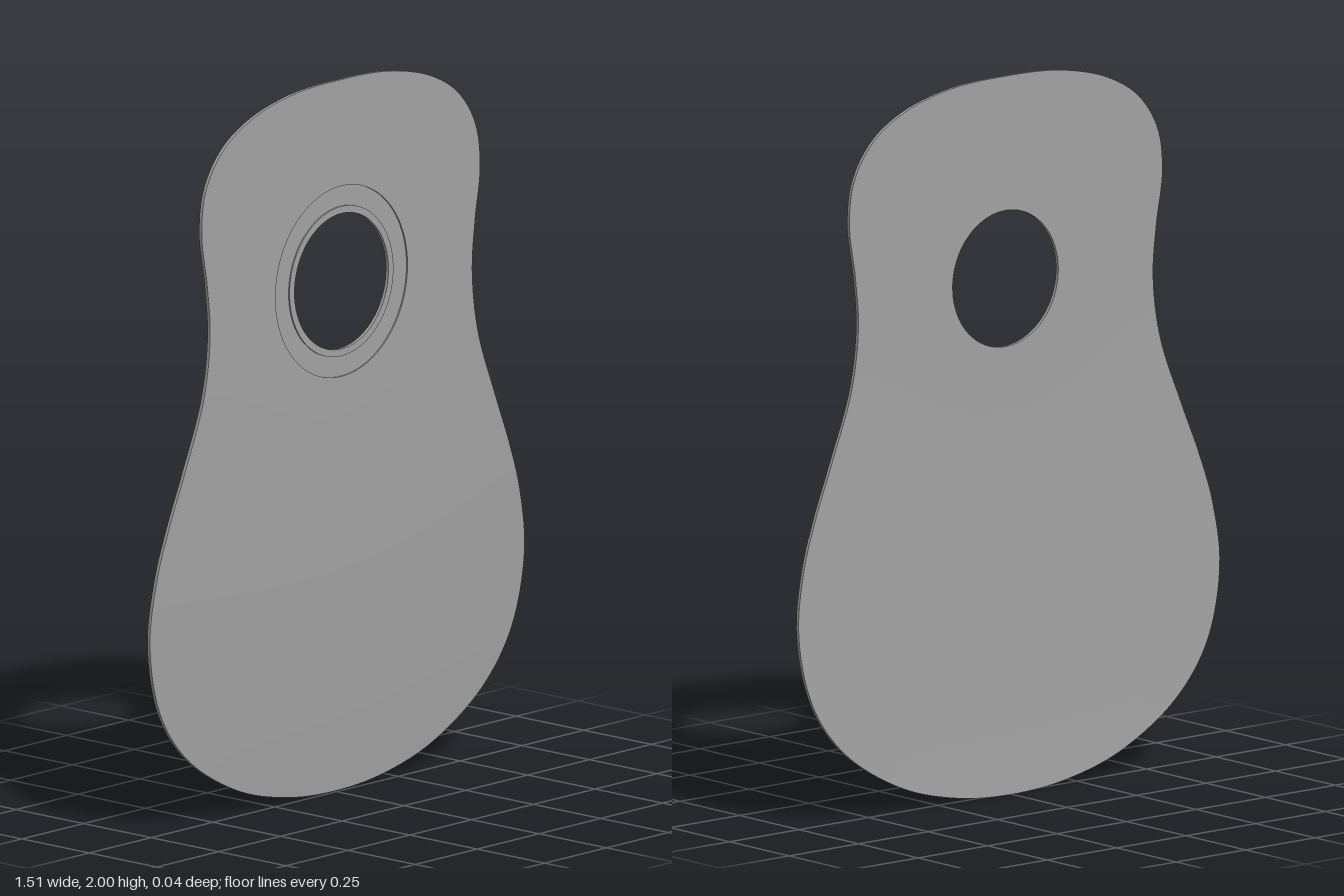
import * as THREE from 'three';

const CENTRE_Y = 1.435; // sound hole centre
const HOLE = 0.19, GROOVE_IN = 0.21, GROOVE_OUT = 0.267;
const THICK = 0.01, GROOVE_DEPTH = 0.004;

// Right half of the outline, bottom to top; mirrored into a closed curve
const HALF = [
  [0, 0], [0.2, 0.016], [0.4, 0.072], [0.6, 0.194], [0.71, 0.338], [0.757, 0.54],
  [0.734, 0.72], [0.688, 0.86], [0.63, 1.0], [0.554, 1.2], [0.53, 1.37], [0.541, 1.51],
  [0.563, 1.66], [0.546, 1.78], [0.48, 1.878], [0.37, 1.946], [0.2, 1.99], [0, 2],
];
const mirrored = HALF.slice(1, -1).reverse().map(([x, y]) => [-x, y]);
const curve = new THREE.CatmullRomCurve3(
  [...HALF, ...mirrored].map(([x, y]) => new THREE.Vector3(x, y, 0)), true);
const outline = curve.getSpacedPoints(240).slice(0, -1);

// Front surface: nearly flat round the hole, gently domed towards the bottom
function frontZ(x, y) {
  const r = Math.max(0, Math.hypot(x, y - CENTRE_Y) - 0.3);
  return 0.0185 - 0.021 * r * r;
}

// Circle round the hole, blended towards the outline by t, sunk by depth
function ring(radius, t, depth) {
  return outline.map((p) => {
    const a = Math.atan2(p.y - CENTRE_Y, p.x);
    const x = THREE.MathUtils.lerp(radius * Math.cos(a), p.x, t);
    const y = THREE.MathUtils.lerp(CENTRE_Y + radius * Math.sin(a), p.y, t);
    return new THREE.Vector3(x, y, frontZ(x, y) - depth);
  });
}

// Smooth surface through successive rings
function loft(name, rings, material) {
  const n = outline.length, index = [];
  for (let r = 0; r < rings.length - 1; r++) {
    for (let i = 0; i < n; i++) {
      const j = (i + 1) % n, a = r * n, b = a + n;
      index.push(a + i, b + i, b + j, a + i, b + j, a + j);
    }
  }
  const geometry = new THREE.BufferGeometry().setFromPoints(rings.flat());
  geometry.setIndex(index);
  geometry.computeVertexNormals();
  const mesh = new THREE.Mesh(geometry, material);
  mesh.name = name;
  return mesh;
}

export function createModel() {
  const group = new THREE.Group();
  group.name = 'guitarTop';
  const material = new THREE.MeshStandardMaterial({ color: 0xa2a2a2 });
  const steps = Array.from({ length: 13 }, (_, i) => i / 12);
  const add = (name, rings) => group.add(loft(name, rings, material));

  // Front face with the recessed rosette channel
  add('holeRim', [ring(HOLE, 0, 0), ring(GROOVE_IN, 0, 0)]);
  add('rosetteInnerWall', [ring(GROOVE_IN, 0, 0), ring(GROOVE_IN, 0, GROOVE_DEPTH)]);
  add('rosetteFloor', [ring(GROOVE_IN, 0, GROOVE_DEPTH), ring(GROOVE_OUT, 0, GROOVE_DEPTH)]);
  add('rosetteOuterWall', [ring(GROOVE_OUT, 0, GROOVE_DEPTH), ring(GROOVE_OUT, 0, 0)]);
  add('frontFace', steps.map((t) => ring(GROOVE_OUT, t, 0)));

  // Outer edge, back face and sound hole wall
  add('outerEdge', [ring(0, 1, 0), ring(0, 1, THICK)]);
  add('backFace', steps.map((t) => ring(HOLE, 1 - t, THICK)));
  add('soundHoleWall', [ring(HOLE, 0, THICK), ring(HOLE, 0, 0)]);
  return group;
}
